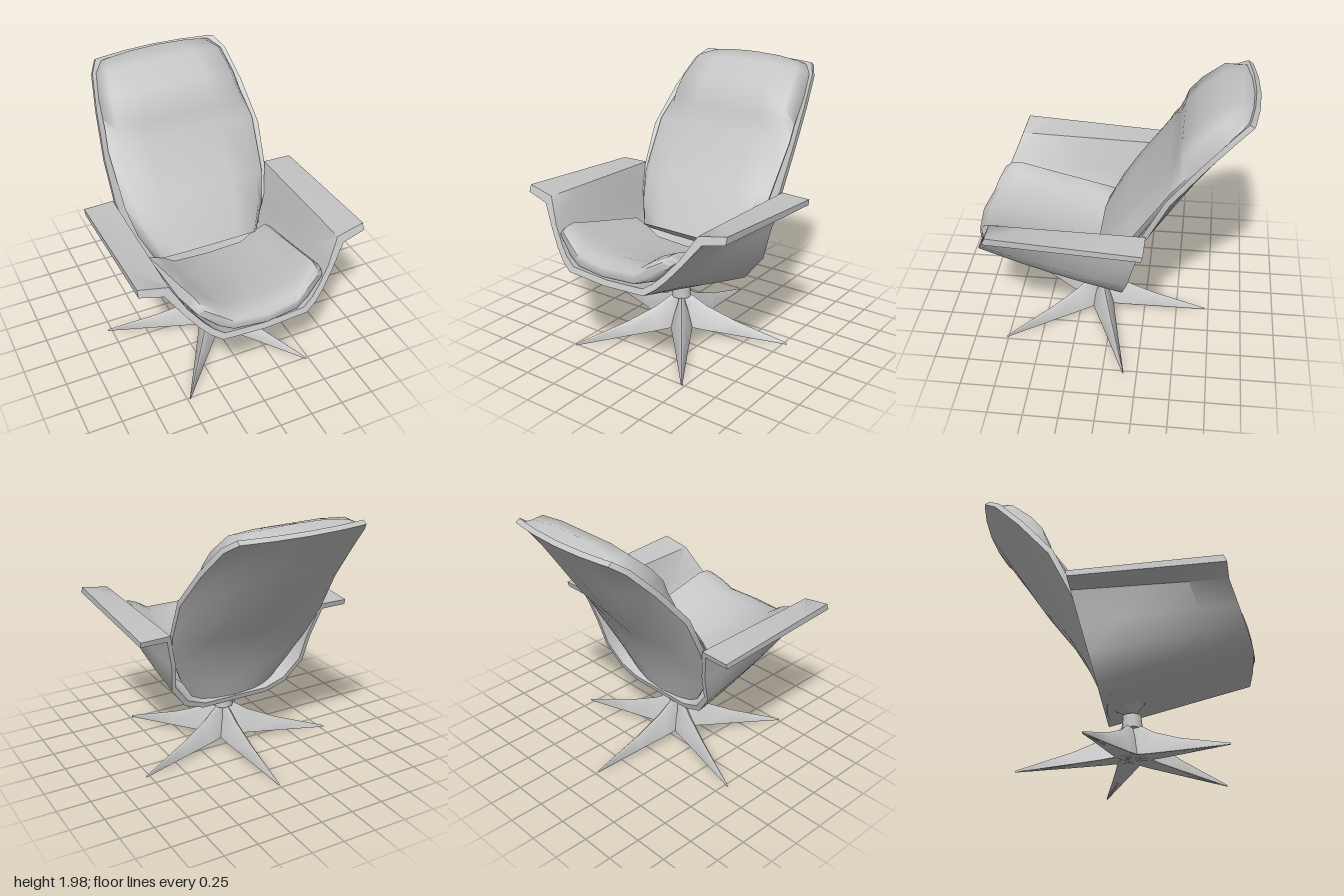
import * as THREE from 'three';
import { toCreasedNormals } from 'three/addons/utils/BufferGeometryUtils.js';

const grey = new THREE.MeshStandardMaterial({ color: 0xc4c4c4 });
grey.name = 'soft grey';

// Lofts a slab: each row holds two facing polylines (outer, inner) of equal length.
function slab(rows, crease = 0.9) {
  const n = rows[0].outer.length, m = 2 * n;
  const pos = [], idx = [];
  for (const r of rows) for (const p of [...r.outer, ...[...r.inner].reverse()]) pos.push(...p);
  const quad = (a, b, c, d) => idx.push(a, b, c, a, c, d);
  for (let k = 0; k < rows.length - 1; k++)
    for (let i = 0; i < m; i++) {
      const j = (i + 1) % m;
      quad(k * m + i, k * m + j, (k + 1) * m + j, (k + 1) * m + i);
    }
  const last = (rows.length - 1) * m;
  for (let i = 0; i < n - 1; i++) {
    quad(m - 1 - i, m - 2 - i, i + 1, i);
    quad(last + i, last + i + 1, last + m - 2 - i, last + m - 1 - i);
  }
  // Turn the faces outward if the enclosed volume comes out negative
  const v = i => new THREE.Vector3().fromArray(pos, i * 3);
  let volume = 0;
  for (let i = 0; i < idx.length; i += 3)
    volume += v(idx[i]).dot(v(idx[i + 1]).cross(v(idx[i + 2])));
  if (volume < 0) idx.reverse();
  const g = new THREE.BufferGeometry();
  g.setAttribute('position', new THREE.Float32BufferAttribute(pos, 3));
  g.setIndex(idx);
  return toCreasedNormals(g, crease);
}

function add(parent, name, geometry) {
  const mesh = new THREE.Mesh(geometry, grey);
  mesh.name = name;
  parent.add(mesh);
  return mesh;
}

// Half profile running from the +x side to the middle, completed by mirroring
const mirror = half => [...half, ...half.slice(0, -1).reverse().map(([x, ...r]) => [-x, ...r])];
const lerp = THREE.MathUtils.lerp;

function seatShell() {
  const back = {
    outer: [[.84, 1.08], [.64, 1.08], [.58, .85], [.555, .64], [.43, .47], [.27, .41], [0, .41]],
    inner: [[.84, 1.12], [.62, 1.125], [.55, .86], [.525, .66], [.41, .51], [.26, .45], [0, .45]],
  };
  const front = {
    outer: [[.84, 1.14], [.67, 1.10], [.56, .95], [.47, .84], [.40, .77], [.32, .715], [0, .70]],
    inner: [[.84, 1.19], [.63, 1.15], [.53, .98], [.44, .87], [.375, .805], [.30, .755], [0, .74]],
  };
  const rows = [0, .25, .5, .75, 1].map(t => {
    const row = {};
    for (const side of ['outer', 'inner'])
      row[side] = mirror(back[side].map(([bx, by], i) => {
        const [fx, fy] = front[side][i];
        const bulge = i > 1 && i < 5 ? .025 * Math.sin(Math.PI * t) : 0;
        const zBack = -.09 - (by - .41) * .27, zFront = .97 - (fy - .70) * .41;
        return [lerp(bx, fx, t) + bulge, lerp(by, fy, t), lerp(zBack, zFront, t)];
      }));
    return row;
  });
  return slab(rows);
}

function seatCushion() {
  const top = [[.50, .95], [.45, 1.0], [.35, .96], [.26, .895], [0, .88]];
  const bottom = [[.49, .92], [.45, .87], [.35, .78], [.25, .75], [0, .75]];
  // z, width scale, height scale, curve of the front edge
  const rows = [
    [.03, 1.06, .9, 0], [.3, 1.04, 1, 0], [.6, 1.02, 1, .1],
    [.82, 1, 1, .25], [.93, .98, .8, .4], [.985, .95, .5, .45], [.99, .92, .2, .45],
  ].map(([z, sx, sy, curve]) => {
    const dy = -.25 * Math.max(0, .88 - z);
    const place = (pts, shift) => mirror(pts.map(([x, y], i) => {
      const mid = (top[i][1] + bottom[i][1]) / 2 - (z > .9 ? .02 : 0);
      return [x * sx, mid + (y - mid) * sy + dy, z - curve * x * x + shift];
    }));
    return { outer: place(top, 0), inner: place(bottom, 0) };
  });
  return slab(rows, 1.1);
}

const across = [1, .88, .5, 0];

function backShell() {
  // height, half width, depth at the middle, depth at the edge
  const rows = [
    [-.12, .30, -.17, -.11], [.1, .45, -.11, -.04], [.35, .56, -.07, .01], [.58, .61, -.06, .04],
    [.9, .62, -.10, .08], [1.25, .58, -.095, .04], [1.52, .53, -.09, -.01], [1.655, .47, -.09, -.05],
  ].map(([s, w, dc, de], k) => {
    const line = shift => mirror(across.map(t =>
      [t * w, s - (k > 6 ? .03 * t * t : 0), lerp(dc, de, t * t) + shift]));
    return { outer: line(0), inner: line(.04) };
  });
  return slab(rows);
}

function backCushion() {
  // height, half width, front depth, edge depth
  const rows = [
    [.10, .42, .17, .07], [.3, .51, .18, .09], [.52, .56, .175, .11], [.95, .58, .155, .12],
    [1.09, .56, .178, .10], [1.18, .55, .203, .08], [1.32, .54, .19, .06],
    [1.52, .50, .137, .02], [1.635, .43, .04, -.01],
  ].map(([s, w, df, de], k) => {
    const drop = t => s - (k > 7 ? .03 * t * t : 0);
    return {
      outer: mirror(across.map((t, i) => [t * w, drop(t), i ? df - (i === 1 ? .02 : 0) : de])),
      inner: mirror(across.map(t => [t * w * .97, drop(t), lerp(-.05, de - .04, t * t)])),
    };
  });
  return slab(rows, 1.1);
}

function legGeometry() {
  // distance from the hub, ridge height, half width, lower edge height
  const rows = [
    [0, .32, .06, .07], [.08, .30, .085, .07], [.2, .225, .07, .055],
    [.42, .135, .045, .035], [.82, .012, .004, .002],
  ].map(([r, top, w, low]) => ({
    outer: [[-w, low, r], [-w * .3, lerp(low, top, .85), r], [0, top, r], [w * .3, lerp(low, top, .85), r], [w, low, r]],
    inner: [[-w * .9, low - .002, r], [-w * .3, low + .006, r], [0, low + .008, r], [w * .3, low + .006, r], [w * .9, low - .002, r]],
  }));
  return slab(rows, .7);
}

export function createModel() {
  const chair = new THREE.Group();
  chair.name = 'swivelArmchair';

  add(chair, 'seatShellWithArmrests', seatShell());
  add(chair, 'seatCushion', seatCushion());

  // Reclined backrest
  const backrest = new THREE.Group();
  backrest.name = 'backrest';
  backrest.position.y = .6;
  backrest.rotation.x = -.593;
  add(backrest, 'backShell', backShell());
  add(backrest, 'backCushion', backCushion());
  chair.add(backrest);

  // Five-pointed pedestal with one leg to the back
  const pedestal = new THREE.Group();
  pedestal.name = 'pedestal';
  pedestal.position.z = .1;
  const leg = legGeometry();
  for (let i = 0; i < 5; i++)
    add(pedestal, 'leg', leg).rotation.y = Math.PI + i * Math.PI * 2 / 5;
  add(pedestal, 'post', new THREE.CylinderGeometry(.066, .076, .1, 10)).position.y = .34;
  const mount = add(pedestal, 'tiltMount', new THREE.CylinderGeometry(.11, .012, .075, 6));
  mount.position.y = .42;
  mount.rotation.x = -.27;
  chair.add(pedestal);

  return chair;
}
